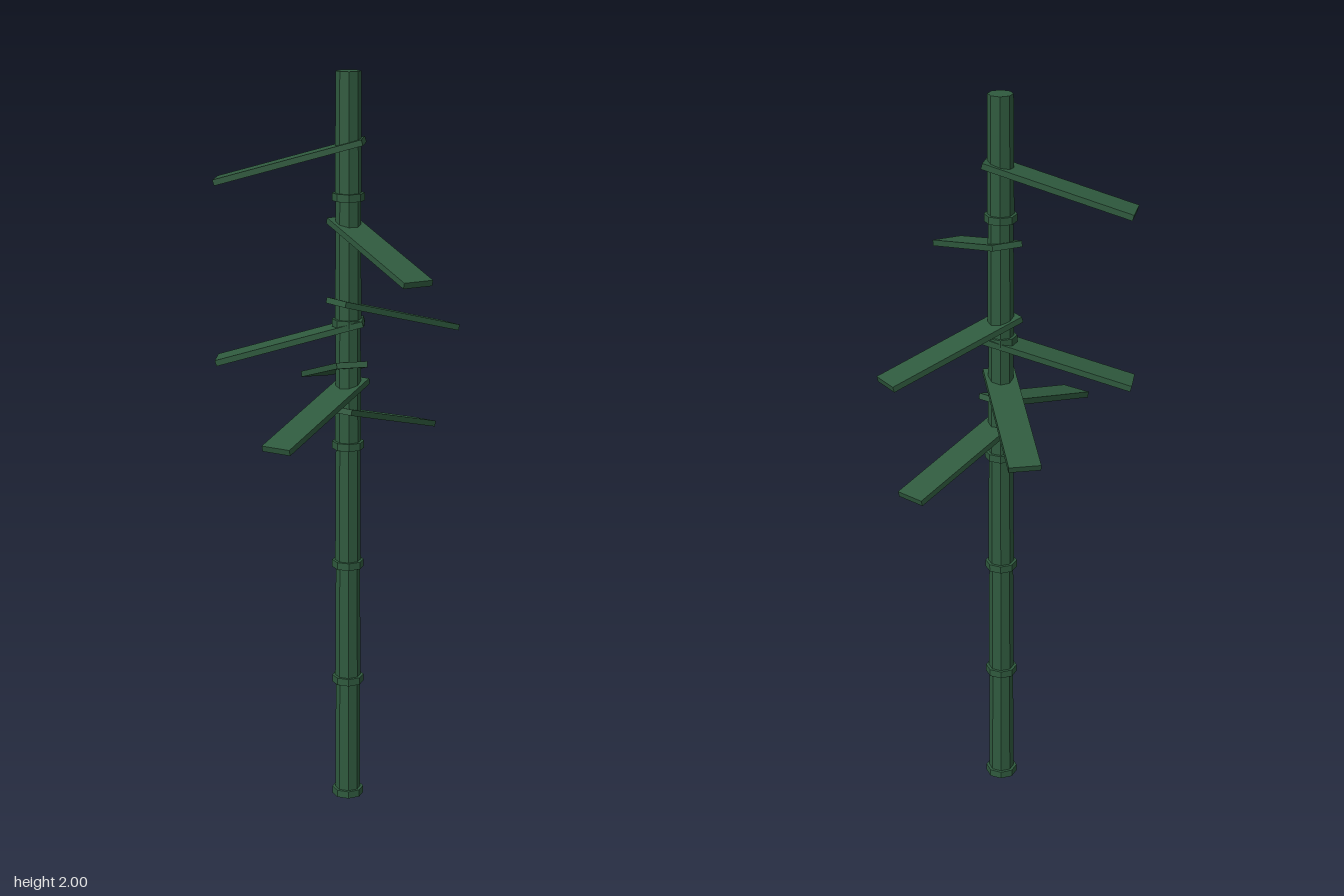
import * as THREE from 'three';

const green = new THREE.MeshStandardMaterial({ color: 0x2f5a3e, flatShading: true });
green.name = 'dark green';

// Stalk axis position
const AXIS_X = 0.018, AXIS_Z = 0.008;
const SEGMENTS = 6, SEGMENT_HEIGHT = 2 / SEGMENTS;

// Leaves: height at the stalk, then horizontal direction x, z
const LEAVES = [
  [1.81, -0.345, -0.061],
  [1.60, 0.159, 0.314],
  [1.39, 0.291, -0.198],
  [1.335, -0.348, -0.038],
  [1.225, -0.073, -0.343],
  [1.17, -0.200, 0.287],
  [1.10, 0.227, -0.268],
];

function addMesh(parent, name, geometry, x, y, z) {
  const mesh = new THREE.Mesh(geometry, green);
  mesh.name = name;
  mesh.position.set(x, y, z);
  parent.add(mesh);
  return mesh;
}

export function createModel() {
  const model = new THREE.Group();
  model.name = 'stalkPlant';

  // Jointed stalk: octagonal segments, each with a ring at its foot
  const stalk = new THREE.Group();
  stalk.name = 'stalk';
  stalk.position.set(AXIS_X, 0, AXIS_Z);
  model.add(stalk);
  const segmentGeometry = new THREE.CylinderGeometry(0.033, 0.035, SEGMENT_HEIGHT, 8);
  const ringGeometry = new THREE.CylinderGeometry(0.043, 0.043, 0.02, 8);
  for (let i = 0; i < SEGMENTS; i++) {
    const foot = i * SEGMENT_HEIGHT;
    addMesh(stalk, 'stalkSegment', segmentGeometry, 0, foot + SEGMENT_HEIGHT / 2, 0);
    addMesh(stalk, 'jointRing', ringGeometry, 0, foot + 0.01, 0);
  }

  // Flat drooping leaves, passing through the stalk and sloping outward
  const leafGeometry = new THREE.BoxGeometry(0.404, 0.016, 0.084);
  leafGeometry.translate(0.16, 0, 0);
  for (const [y, dx, dz] of LEAVES) {
    const leaf = addMesh(model, 'leaf', leafGeometry, AXIS_X, y, AXIS_Z);
    leaf.rotation.set(0, Math.atan2(-dz, dx), -0.275);
  }
  return model;
}
